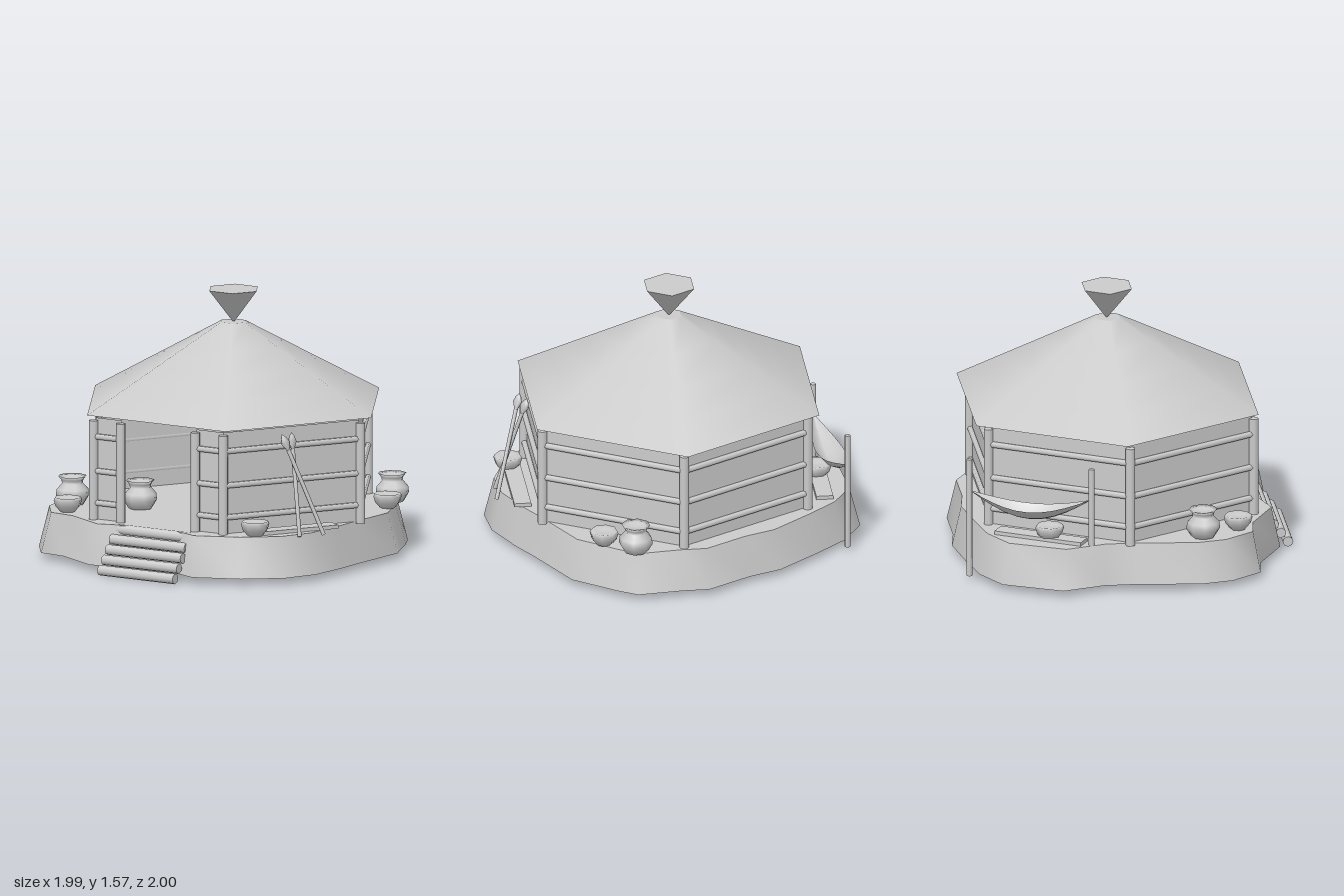
import * as THREE from 'three';
import { toCreasedNormals } from 'three/addons/utils/BufferGeometryUtils.js';

const V = (x, y, z) => new THREE.Vector3(x, y, z);
const grey = new THREE.MeshStandardMaterial({ color: 0xcccccc });
const thin = new THREE.MeshStandardMaterial({ color: 0xcccccc, side: THREE.DoubleSide });
const FLOOR = 0.28, CX = 0.022, CZ = -0.04;

export function createModel() {
  const root = new THREE.Group();

  function add(name, geometry, x = 0, y = 0, z = 0, material = grey) {
    const mesh = new THREE.Mesh(geometry, material);
    mesh.name = name;
    mesh.position.set(x, y, z);
    root.add(mesh);
    return mesh;
  }

  // Round bar running from a to b
  function rod(name, a, b, r, sides = 8, rEnd = r) {
    const mesh = add(name, new THREE.CylinderGeometry(rEnd, r, a.distanceTo(b), sides));
    mesh.position.copy(a).lerp(b, 0.5);
    mesh.quaternion.setFromUnitVectors(V(0, 1, 0), b.clone().sub(a).normalize());
    return mesh;
  }

  // Irregular earth platform, narrowing towards the top
  const outline = [
    [-0.1, -1], [0.1, -0.97], [0.4, -0.97], [0.54, -0.89], [0.78, -0.78], [0.85, -0.65],
    [0.9, -0.53], [0.965, -0.38], [0.95, 0], [0.95, 0.2], [0.93, 0.45], [0.84, 0.65],
    [0.64, 0.81], [0.37, 0.92], [0.2, 0.85], [-0.15, 0.85], [-0.35, 0.91], [-0.63, 0.76],
    [-0.8, 0.74], [-0.93, 0.56], [-0.97, 0.37], [-0.93, 0], [-0.93, -0.2], [-1, -0.45],
    [-0.84, -0.79], [-0.64, -0.9], [-0.4, -0.95],
  ];
  const shape = new THREE.Shape(outline.map(([x, z]) => new THREE.Vector2(x, -z)));
  const ground = new THREE.ExtrudeGeometry(shape, { depth: FLOOR - 0.04, bevelEnabled: false });
  ground.rotateX(-Math.PI / 2);
  const p = ground.attributes.position;
  for (let i = 0; i < p.count; i++) {
    if (p.getY(i) > 0.1) p.setXYZ(i, p.getX(i) * 0.945, p.getY(i), p.getZ(i) * 0.945);
  }
  add('platform', toCreasedNormals(ground, 0.9), 0, 0.04, 0);

  // Log steps
  for (let i = 0; i < 5; i++) {
    const y = 0.03 + i * 0.055, z = 0.97 - i * 0.042;
    rod('stepLog', V(-0.24, y, z), V(0.285, y, z), 0.031, 8);
  }

  // Six walls with posts and rails; the front wall leaves a doorway
  const corner = (i, r) => {
    const a = (i * Math.PI) / 3;
    return V(CX + r * Math.cos(a), FLOOR, CZ + r * Math.sin(a));
  };
  function wall(a, b) {
    const g = new THREE.PlaneGeometry(a.distanceTo(b), 0.605);
    const m = add('wall', g, 0, 0, 0, thin);
    m.position.copy(a).lerp(b, 0.5).setY(FLOOR + 0.3025);
    m.rotation.y = Math.atan2(-(b.z - a.z), b.x - a.x);
  }
  function rails(a, b) {
    for (const y of [0.38, 0.57, 0.775]) rod('rail', a.clone().setY(y), b.clone().setY(y), 0.018, 6);
  }
  const post = (q) => rod('post', q.clone().setY(FLOOR - 0.01), q.clone().setY(0.87), 0.028, 8);
  for (let i = 0; i < 6; i++) {
    const a = corner(i, 0.89), b = corner(i + 1, 0.89);
    const ra = corner(i, 0.905), rb = corner(i + 1, 0.905);
    post(ra);
    if (i === 1) {
      const dr = V(0.28, FLOOR, a.z), dl = V(-0.24, FLOOR, a.z);
      for (const [c, d, e] of [[a, dr, ra], [b, dl, rb]]) {
        wall(c, d);
        rails(e, d.clone().setZ(e.z));
        post(d.clone().setZ(e.z));
      }
    } else {
      wall(a, b);
      rails(ra, rb);
    }
  }

  // Hexagonal roof and flared crown
  const roofZ = -0.065;
  add('roof', new THREE.CylinderGeometry(0.08, 0.963, 0.48, 6, 4, true, Math.PI / 2), CX, 1.14, roofZ, thin);
  add('roofTop', new THREE.CircleGeometry(0.08, 6).rotateX(-Math.PI / 2), CX, 1.38, roofZ);
  add('crown', new THREE.CylinderGeometry(0.16, 0.005, 0.195, 6, 1, false, Math.PI / 2), CX, 1.475, roofZ - 0.005);

  // Pots and bowls
  const lathe = (pts) => new THREE.LatheGeometry(pts.map(([r, y]) => new THREE.Vector2(r, y)), 8);
  const potGeo = lathe([[0, 0], [0.07, 0], [0.1, 0.05], [0.095, 0.09], [0.062, 0.125], [0.066, 0.145], [0.085, 0.168], [0.06, 0.16], [0, 0.15]]);
  const bowlGeo = lathe([[0, 0], [0.045, 0], [0.075, 0.035], [0.085, 0.07], [0.078, 0.086], [0.05, 0.08], [0, 0.075]]);
  for (const [x, z] of [[-0.8, 0.4], [0.73, -0.69], [0.31, 0.3], [-0.39, 0.3]]) add('pot', potGeo, x, FLOOR, z);
  for (const [x, z] of [[-0.69, 0.62], [0.82, -0.5], [0.65, 0.67], [-0.74, -0.5]]) add('bowl', bowlGeo, x, FLOOR, z);

  // Mats lying along two walls
  for (const [x, z] of [[0.76, 0.43], [-0.72, -0.55]]) {
    add('mat', new THREE.BoxGeometry(0.1, 0.022, 0.55), x, FLOOR + 0.011, z).rotation.y = -Math.PI / 6;
  }

  // Crossed spears with leaf-shaped heads
  const spears = [
    [V(0.945, 0.27, 0.385), V(0.71, 0.86, 0.475)],
    [V(0.86, 0.27, 0.515), V(0.72, 0.86, 0.385)],
  ];
  for (const [foot, tip] of spears) {
    const dir = tip.clone().sub(foot).normalize();
    rod('spearShaft', foot, tip.clone().addScaledVector(dir, -0.1), 0.012, 6);
    const head = add('spearHead', lathe([[0.008, -0.11], [0.034, -0.055], [0.022, -0.025], [0, 0]]));
    head.position.copy(tip);
    head.quaternion.setFromUnitVectors(V(0, 1, 0), dir);
    head.scale.set(0.6, 1, 1);
  }

  // Hammock slung between two poles
  const A = V(-0.62, 0.56, -0.96), B = V(-0.885, 0.56, -0.27);
  rod('hammockPole', V(A.x, 0.03, A.z), V(A.x, 0.75, A.z), 0.017, 8);
  rod('hammockPole', V(B.x, 0.27, B.z), V(B.x, 0.75, B.z), 0.017, 8);
  const cloth = new THREE.PlaneGeometry(1, 1, 10, 4);
  const side = V(B.z - A.z, 0, A.x - B.x).normalize();
  const c = cloth.attributes.position;
  for (let i = 0; i < c.count; i++) {
    const t = c.getX(i) + 0.5, s = c.getY(i) * 2, bow = Math.sin(Math.PI * t);
    const q = A.clone().lerp(B, t).addScaledVector(side, s * 0.085 * bow);
    q.y -= bow * (0.15 - 0.07 * s * s);
    c.setXYZ(i, q.x, q.y, q.z);
  }
  cloth.computeVertexNormals();
  add('hammock', cloth, 0, 0, 0, thin);

  return root;
}
